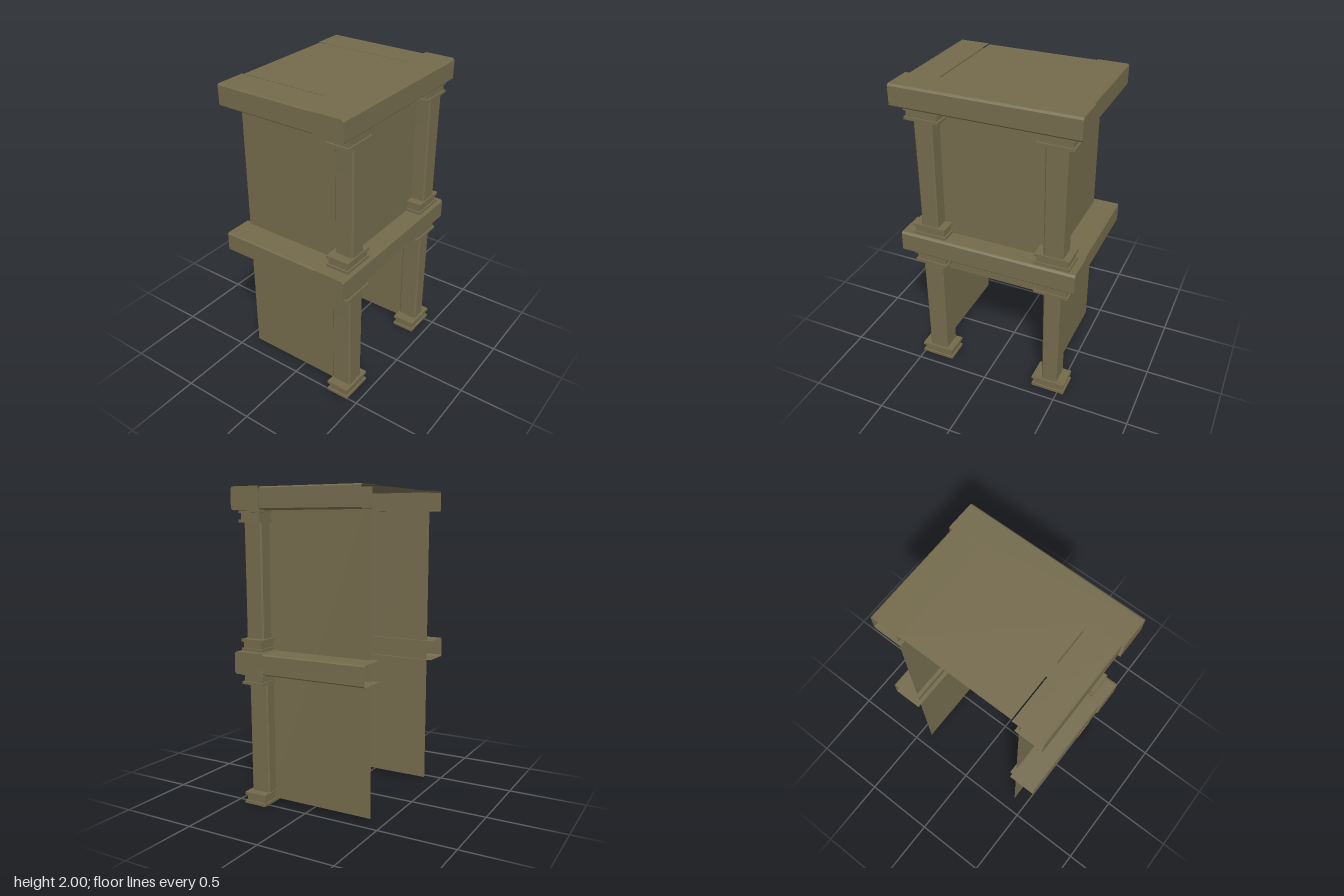
import * as THREE from 'three';

export function createModel() {
  const model = new THREE.Group();
  const stone = new THREE.MeshStandardMaterial({ color: 0x736a4c, side: THREE.DoubleSide });
  stone.name = 'olive stone';

  function add(name, geometry, x = 0, y = 0, z = 0, parent = model) {
    const mesh = new THREE.Mesh(geometry, stone);
    mesh.name = name;
    mesh.position.set(x, y, z);
    parent.add(mesh);
    return mesh;
  }

  // Open strip: a profile of [x, y] points drawn out from z0 to z1
  function strip(profile, z0, z1) {
    const pos = [];
    for (let i = 0; i < profile.length - 1; i++) {
      const [ax, ay] = profile[i], [bx, by] = profile[i + 1];
      pos.push(ax, ay, z0, ax, ay, z1, bx, by, z1, ax, ay, z0, bx, by, z1, bx, by, z0);
    }
    const g = new THREE.BufferGeometry();
    g.setAttribute('position', new THREE.Float32BufferAttribute(pos, 3));
    g.computeVertexNormals();
    return g;
  }

  // Top, bevelled outer face and bottom of a hollow beam
  function beamProfile(inner, outer, bottom, top, c) {
    const s = Math.sign(outer - inner) * c;
    return [[inner, top], [outer - s, top], [outer, top - c], [outer, bottom + c], [outer - s, bottom], [inner, bottom]];
  }

  // Front beam, hollow at the back, with closed ends
  function frontBeam(name, bottom) {
    const group = new THREE.Group();
    group.name = name;
    const profile = beamProfile(0.25, 0.452, bottom, bottom + 0.14, 0.012);
    add('beamShell', strip(profile, -0.587, 0.587).rotateY(-Math.PI / 2), 0, 0, 0, group);
    const cap = new THREE.Shape(profile.map(p => new THREE.Vector2(...p)));
    for (const x of [-0.587, 0.587]) {
      add('beamEnd', new THREE.ShapeGeometry(cap).rotateY(-Math.PI / 2), x, 0, 0, group);
    }
    model.add(group);
  }
  frontBeam('lowerFrontBeam', 0.86);
  frontBeam('upperFrontBeam', 1.86);

  // Side beams, open at the back end
  for (const s of [-1, 1]) {
    add('lowerSideBeam', strip(beamProfile(s * 0.388, s * 0.577, 0.866, 0.996, 0.008), -0.453, 0.255));
    const upper = beamProfile(s * 0.37, s * 0.572, 1.862, 1.996, 0.008);
    upper[5][0] = s * 0.388;
    add('upperSideBeam', strip(upper, -0.427, 0.255));
  }

  // Roof, with a narrow gap on the right
  add('roofPanel', new THREE.PlaneGeometry(0.734, 0.675).rotateX(-Math.PI / 2), 0.005, 1.993, -0.0825);

  // Thin walls, close to the column centres
  add('frontWall', new THREE.PlaneGeometry(0.822, 1.272), 0.003, 1.351, 0.327);
  for (const x of [-0.408, 0.414]) {
    add('sideWall', new THREE.PlaneGeometry(0.74, 1.965).rotateY(Math.PI / 2), x, 1.0025, -0.043);
  }

  // Square shaft with bevelled corners, flaring a little towards the top
  function shaft(hx, hz, height) {
    const c = 0.008;
    const outline = [[hx, hz - c], [hx - c, hz], [c - hx, hz], [-hx, hz - c],
      [-hx, c - hz], [c - hx, -hz], [hx - c, -hz], [hx, c - hz]];
    const shape = new THREE.Shape(outline.map(p => new THREE.Vector2(...p)));
    const g = new THREE.ExtrudeGeometry(shape, { depth: height, steps: 4, bevelEnabled: false });
    g.rotateX(-Math.PI / 2);
    const p = g.attributes.position;
    for (let i = 0; i < p.count; i++) {
      const t = p.getY(i) / height;
      p.setX(i, p.getX(i) * (1 + 0.08 * t * t));
    }
    g.computeVertexNormals();
    return g;
  }

  // Two slabs with a narrower block between
  function moulding(name, y, height, parent) {
    const slab = 0.018;
    add(name + 'Bottom', new THREE.BoxGeometry(0.225, slab, 0.155), 0, y + slab / 2, 0, parent);
    add(name + 'Block', new THREE.BoxGeometry(0.203, height - 2 * slab, 0.135), 0, y + height / 2, 0, parent);
    add(name + 'Top', new THREE.BoxGeometry(0.225, slab, 0.155), 0, y + height - slab / 2, 0, parent);
  }

  // Column; the shaft sits slightly off the centre of its mouldings
  function column(name, x, y, shaftX, shaftZ, halfX, halfZ) {
    const group = new THREE.Group();
    group.name = name;
    group.position.set(x, y, 0.353);
    moulding('base', 0, 0.075, group);
    add('shaft', shaft(halfX, halfZ, 0.716), shaftX, 0.073, shaftZ, group);
    moulding('capital', 0.787, 0.076, group);
    model.add(group);
  }
  column('lowerRightColumn', -0.396, 0, 0.004, -0.005, 0.064, 0.067);
  column('lowerLeftColumn', 0.43, 0, 0.004, -0.005, 0.052, 0.067);
  column('upperRightColumn', -0.396, 1, 0.005, 0.006, 0.057, 0.063);
  column('upperLeftColumn', 0.43, 1, 0.006, 0.006, 0.063, 0.063);

  return model;
}
